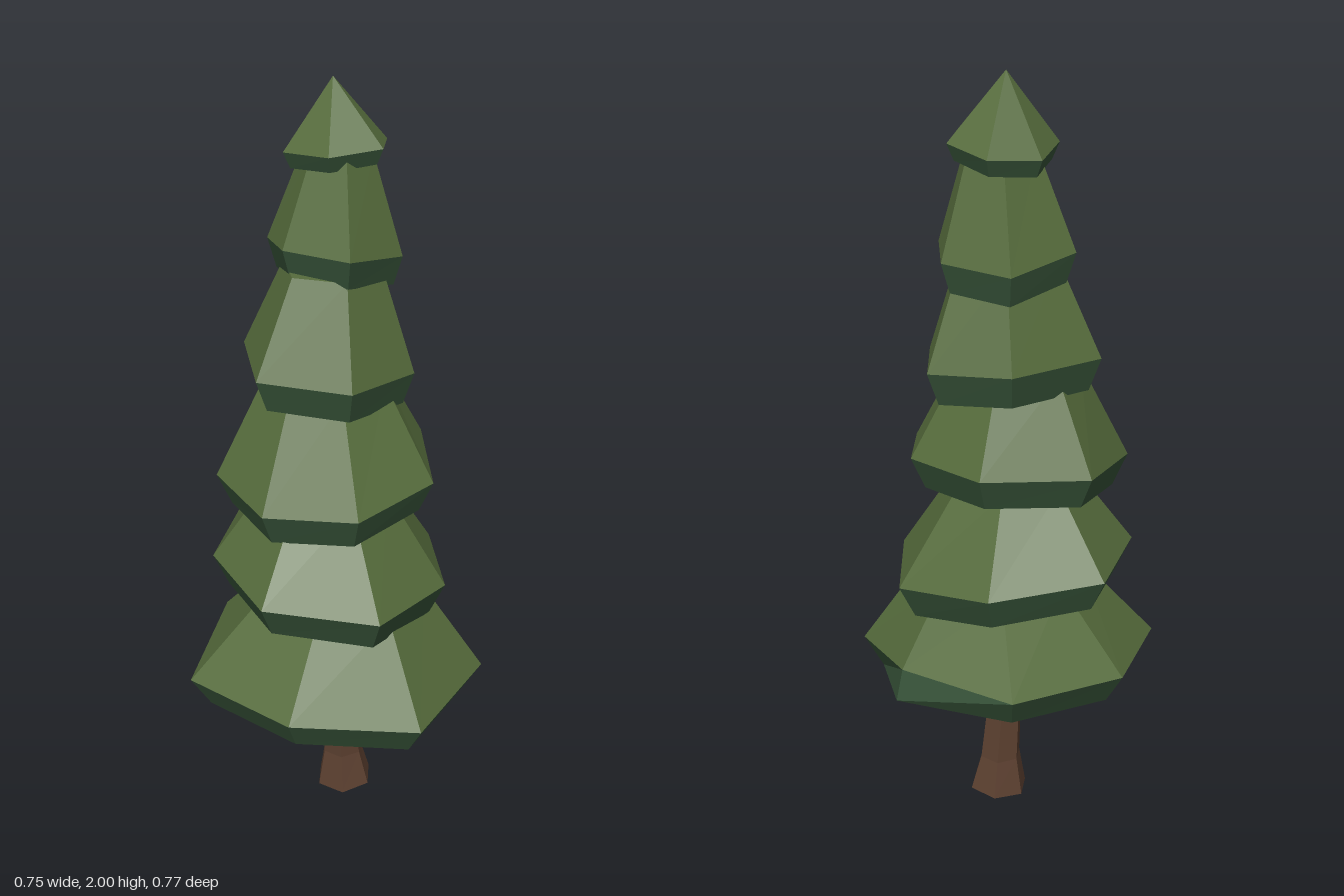
import * as THREE from 'three';

const mat = (color) => new THREE.MeshStandardMaterial({ color, flatShading: true });
const leafTop = mat(0x566c3c), leafUnder = mat(0x38553a), bark = mat(0x5c4030);

// Skin a stack of rings (bottom to top, each running left, front, right, back)
function loft(rings) {
  const pos = [];
  const tri = (a, b, c) => {
    if (a !== b && b !== c && a !== c) pos.push(...a, ...b, ...c);
  };
  for (let r = 0; r + 1 < rings.length; r++) {
    const a = rings[r], b = rings[r + 1], n = a.length;
    for (let i = 0; i < n; i++) {
      const j = (i + 1) % n;
      tri(a[i], a[j], b[j]);
      tri(a[i], b[j], b[i]);
    }
  }
  const g = new THREE.BufferGeometry();
  g.setAttribute('position', new THREE.Float32BufferAttribute(pos, 3));
  g.computeVertexNormals();
  return g;
}

function part(name, rings, material) {
  const mesh = new THREE.Mesh(loft(rings), material);
  mesh.name = name;
  return mesh;
}

// Each tier: rim corners [x, y, z], centre of the upper end, its scale against the rim
const tiers = [
  { rim: [[-0.38, 0.44, -0.16], [-0.3, 0.44, 0.175], [-0.03, 0.42, 0.385], [0.3, 0.43, 0.26],
          [0.35, 0.49, -0.04], [0.215, 0.5, -0.35], [-0.11, 0.48, -0.375]],
    top: [0.02, 0.68, 0], scale: 0.54, drop: 0.085, flare: [4, 1.06] },
  { rim: [[-0.32, 0.76, 0.095], [-0.09, 0.72, 0.285], [0.185, 0.71, 0.225], [0.335, 0.71, -0.01],
          [0.23, 0.75, -0.265], [-0.035, 0.78, -0.385], [-0.265, 0.77, -0.2]],
    top: [0.01, 0.97, -0.05], scale: 0.5, drop: 0.09 },
  { rim: [[-0.265, 0.98, 0.03], [-0.105, 0.99, 0.215], [0.145, 1.02, 0.21], [0.285, 1.055, 0],
          [0.23, 1.06, -0.23], [-0.015, 1.05, -0.35], [-0.25, 1.01, -0.19]],
    top: [0.01, 1.27, -0.06], scale: 0.55, drop: 0.085 },
  { rim: [[-0.22, 1.31, -0.045], [-0.07, 1.3, 0.145], [0.155, 1.29, 0.115],
          [0.28, 1.3, -0.08], [0.16, 1.32, -0.265], [-0.1, 1.32, -0.265]],
    top: [0.045, 1.55, -0.065], scale: 0.57, drop: 0.085 },
  { rim: [[-0.1, 1.61, -0.09], [-0.03, 1.61, 0.085], [0.16, 1.58, 0.055],
          [0.245, 1.57, -0.095], [0.16, 1.56, -0.26], [-0.03, 1.59, -0.25]],
    top: [0.08, 1.83, -0.095], scale: 0.5, drop: 0.075 },
  { rim: [[-0.05, 1.83, -0.15], [-0.02, 1.84, -0.01], [0.11, 1.85, 0.035],
          [0.21, 1.84, -0.07], [0.185, 1.82, -0.2], [0.055, 1.81, -0.23]],
    top: [0.08, 2, -0.12], scale: 0, drop: 0.04 },
];

function makeTier({ rim, top, scale, drop, flare = [-1, 1] }) {
  const mid = [0, 1, 2].map((k) => rim.reduce((s, p) => s + p[k], 0) / rim.length);
  // Rim scaled about its centre in plan, then lowered
  const lower = rim.map(([x, y, z], i) => {
    const s = i === flare[0] ? flare[1] : 0.87;
    return [mid[0] + (x - mid[0]) * s, y - drop, mid[2] + (z - mid[2]) * s];
  });
  const upper = scale === 0 ? rim.map(() => top) : rim.map(([x, y, z]) => [
    top[0] + (x - mid[0]) * scale, top[1] + (y - mid[1]) * 0.3, top[2] + (z - mid[2]) * scale]);
  const hollow = [mid[0], mid[1] - drop * 0.6, mid[2]];
  const cap = [top[0], top[1], top[2]];
  const group = new THREE.Group();
  group.add(part('foliageTop', scale === 0 ? [rim, upper] : [rim, upper, rim.map(() => cap)], leafTop));
  group.add(part('foliageUnderside', [rim.map(() => hollow), lower, rim], leafUnder));
  return group;
}

// Six-sided trunk: a flared foot, then a slight lean and taper
function makeTrunk() {
  const section = (x, y, z, r, tilt = 0) => Array.from({ length: 6 }, (_, i) => {
    const a = Math.PI + 0.2 - i * Math.PI / 3;
    return [x + r * Math.cos(a), y + tilt * Math.cos(a), z + r * Math.sin(a)];
  });
  const foot = [0.04, 0.006, -0.02];
  return part('trunk', [
    Array(6).fill(foot),
    section(0.04, 0.006, -0.02, 0.081, 0.006),
    section(0.035, 0.11, -0.022, 0.057),
    section(0.015, 0.36, -0.025, 0.046),
    section(0.01, 0.5, -0.025, 0.042),
  ], bark);
}

export function createModel() {
  const tree = new THREE.Group();
  tree.name = 'pineTree';
  tree.add(makeTrunk());
  tiers.forEach((t, i) => {
    const tier = makeTier(t);
    tier.name = `branchTier${i + 1}`;
    tree.add(tier);
  });
  return tree;
}
